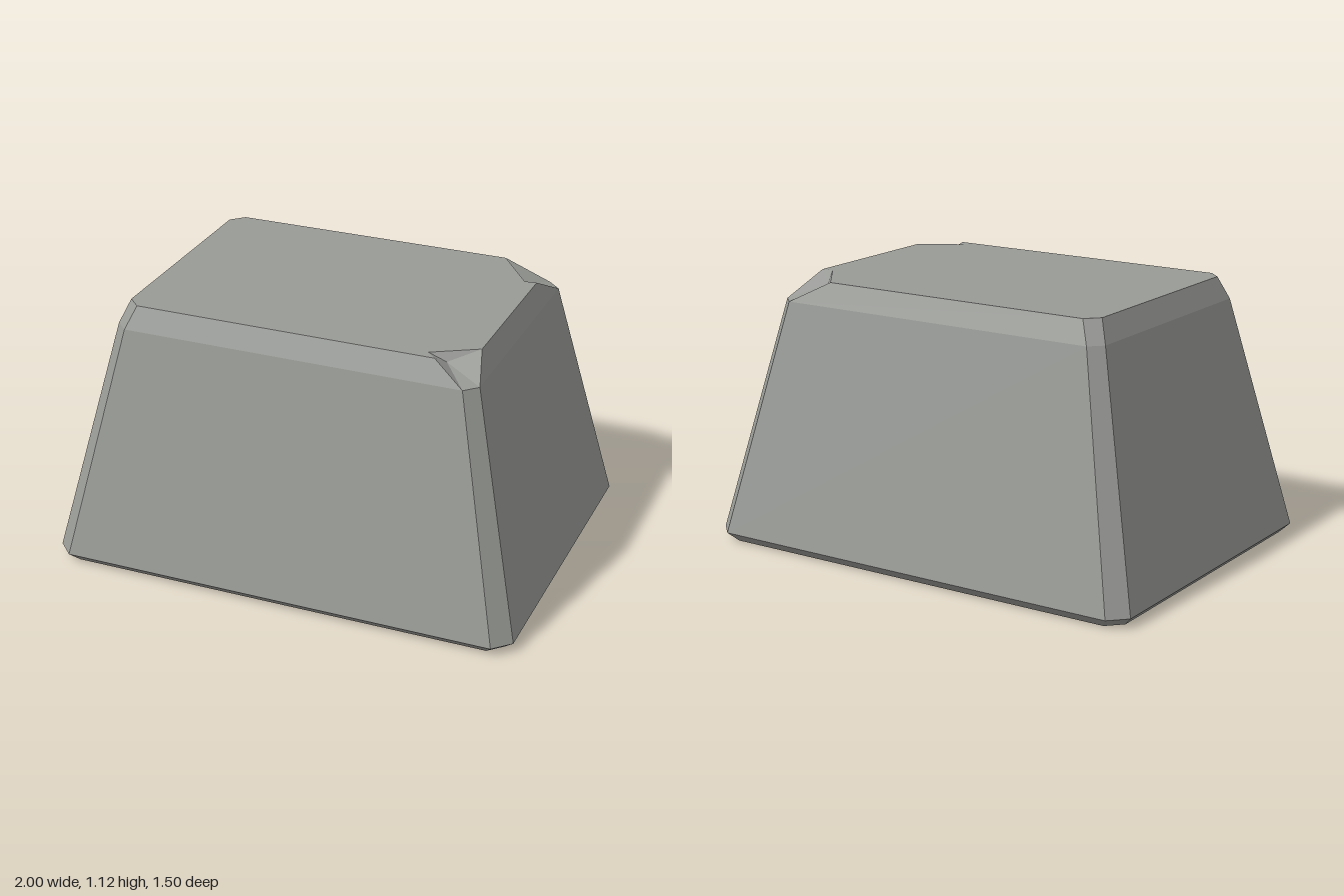
import * as THREE from 'three';

// Rectangle with cut corners, counter-clockwise seen from above, starting front +x
function ring(y, hx, hz, cut) {
  const ix = hx - cut, iz = hz - cut;
  return [[hx, iz], [hx, -iz], [ix, -hz], [-ix, -hz], [-hx, -iz], [-hx, iz], [-ix, hz], [ix, hz]]
    .map(([x, z]) => [x, y, z]);
}

// Triangles from a middle point to each edge of a closed loop
function fan(out, centre, loop) {
  loop.forEach((p, i) => out.push(...centre, ...p, ...loop[(i + 1) % loop.length]));
}

// Quads between two rings, leaving out the listed sides
function band(out, a, b, skip = []) {
  for (let i = 0; i < 8; i++) {
    if (skip.includes(i)) continue;
    const j = (i + 1) % 8;
    out.push(...a[i], ...a[j], ...b[j], ...a[i], ...b[j], ...b[i]);
  }
}

function addMesh(group, name, positions, material) {
  const geometry = new THREE.BufferGeometry();
  geometry.setAttribute('position', new THREE.Float32BufferAttribute(positions, 3));
  geometry.computeVertexNormals();
  const mesh = new THREE.Mesh(geometry, material);
  mesh.name = name;
  group.add(mesh);
}

export function createModel() {
  const group = new THREE.Group();
  group.name = 'chippedStoneBlock';
  const stone = new THREE.MeshStandardMaterial({ color: 0x999b97 });
  stone.name = 'greyStone';

  const base = ring(0, 0.96, 0.71, 0.06);
  const foot = ring(0.04, 1, 0.75, 0.07);
  const shoulder = ring(1.03, 0.77, 0.555, 0.052);
  const rim = ring(1.125, 0.73, 0.516, 0.053);

  // Pull the rim back around the two chipped corners
  const H = 1.125;
  rim[0] = [0.73, H, 0.37];
  rim[7] = [0.59, H, 0.516];
  rim[1] = [0.73, H, -0.315];
  rim[2] = [0.53, H, -0.516];
  const frontNotch = [0.55, H, 0.475];
  const backNotch = [0.68, H, -0.31];

  // Tapered body with chamfered foot and upper bevel
  const body = [];
  fan(body, [0, 0, 0], [...base].reverse());
  band(body, base, foot);
  band(body, foot, shoulder);
  band(body, shoulder, rim, [1, 7]);
  addMesh(group, 'body', body, stone);

  // Flat top with notched corners
  const top = [];
  fan(top, [0, H, 0], [rim[0], rim[1], backNotch, ...rim.slice(2), frontNotch]);
  addMesh(group, 'topFace', top, stone);

  // Broken corners, hollowed to an inner point
  const frontChip = [];
  fan(frontChip, [0.62, 1.09, 0.46], [shoulder[7], shoulder[0], rim[0], frontNotch, rim[7]]);
  addMesh(group, 'frontChip', frontChip, stone);

  const backChip = [];
  fan(backChip, [0.645, 1.085, -0.385], [shoulder[1], shoulder[2], rim[2], backNotch, rim[1]]);
  addMesh(group, 'backChip', backChip, stone);

  return group;
}
